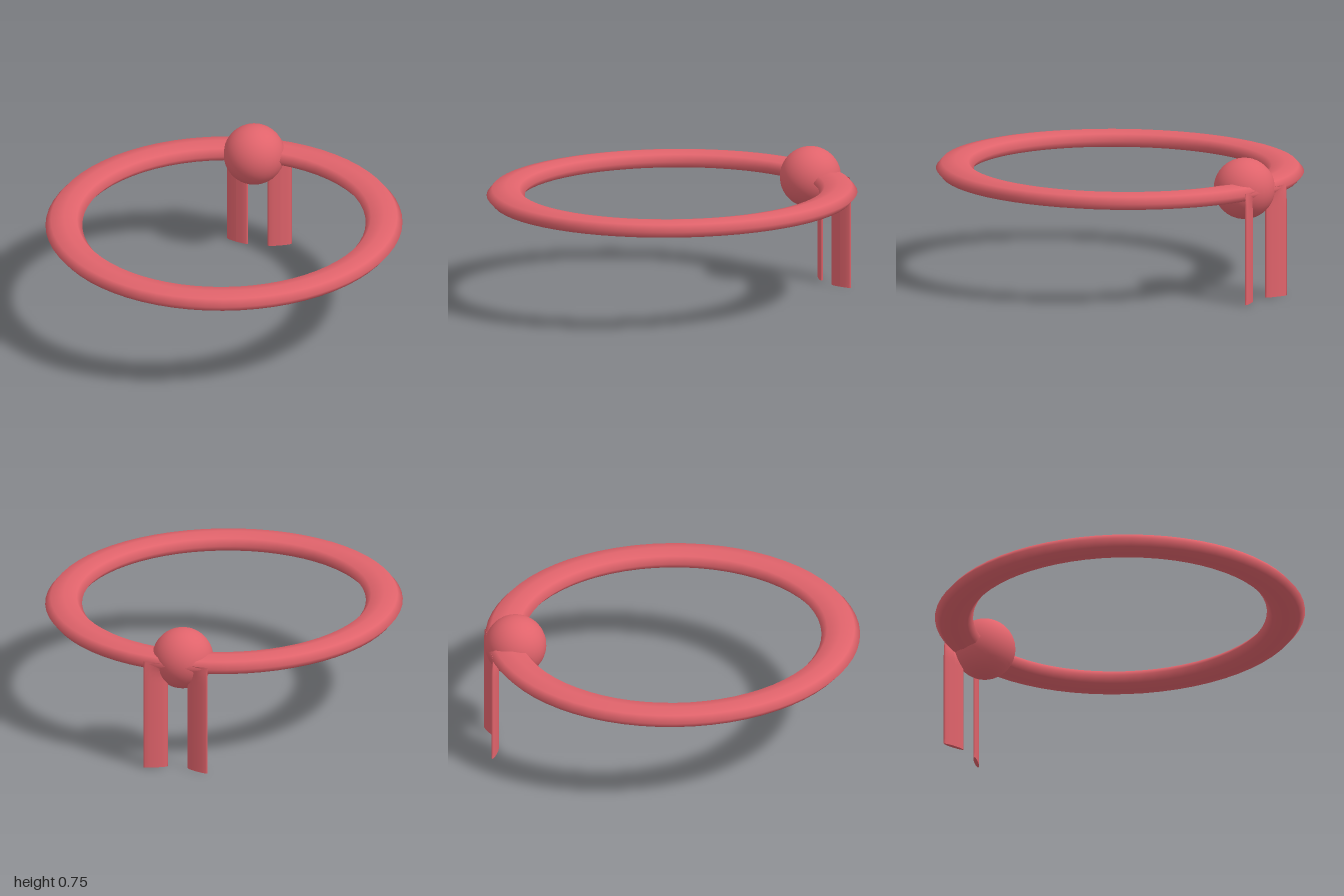
import * as THREE from 'three';

const RING_Y = 0.587;

// Flattened, slightly toed-out strip whose top bends back into the ring
function ribbonGeometry(side) {
  const geo = new THREE.CylinderGeometry(1, 1, 0.6, 12, 20);
  geo.scale(0.066, 1, 0.011);
  geo.rotateY(side * 0.38);
  geo.translate(side * 0.115, 0.3, -0.959);
  const p = geo.attributes.position;
  for (let i = 0; i < p.count; i++) {
    const t = THREE.MathUtils.clamp((p.getY(i) - 0.51) / 0.09, 0, 1);
    p.setZ(i, THREE.MathUtils.lerp(p.getZ(i), -0.978, t * t));
  }
  geo.computeVertexNormals();
  return geo;
}

export function createModel() {
  const group = new THREE.Group();
  const coral = new THREE.MeshStandardMaterial({ color: 0xe0636b });
  coral.name = 'coral red';

  function add(name, geo) {
    const mesh = new THREE.Mesh(geo, coral);
    mesh.name = name;
    group.add(mesh);
    return mesh;
  }

  // Flattened oval ring
  const ring = new THREE.TorusGeometry(0.8475, 0.0975, 8, 64);
  ring.rotateX(Math.PI / 2);
  ring.scale(1, 0.5, 1.053);
  ring.translate(0, RING_Y, 0.003);
  add('ring', ring);

  // Ball at the back of the ring
  const ball = new THREE.SphereGeometry(0.163, 32, 20);
  ball.translate(0, RING_Y, -0.836);
  add('ball', ball);

  // Two hanging ribbons
  for (const side of [1, -1]) {
    add(side > 0 ? 'leftRibbon' : 'rightRibbon', ribbonGeometry(side));
  }
  return group;
}
